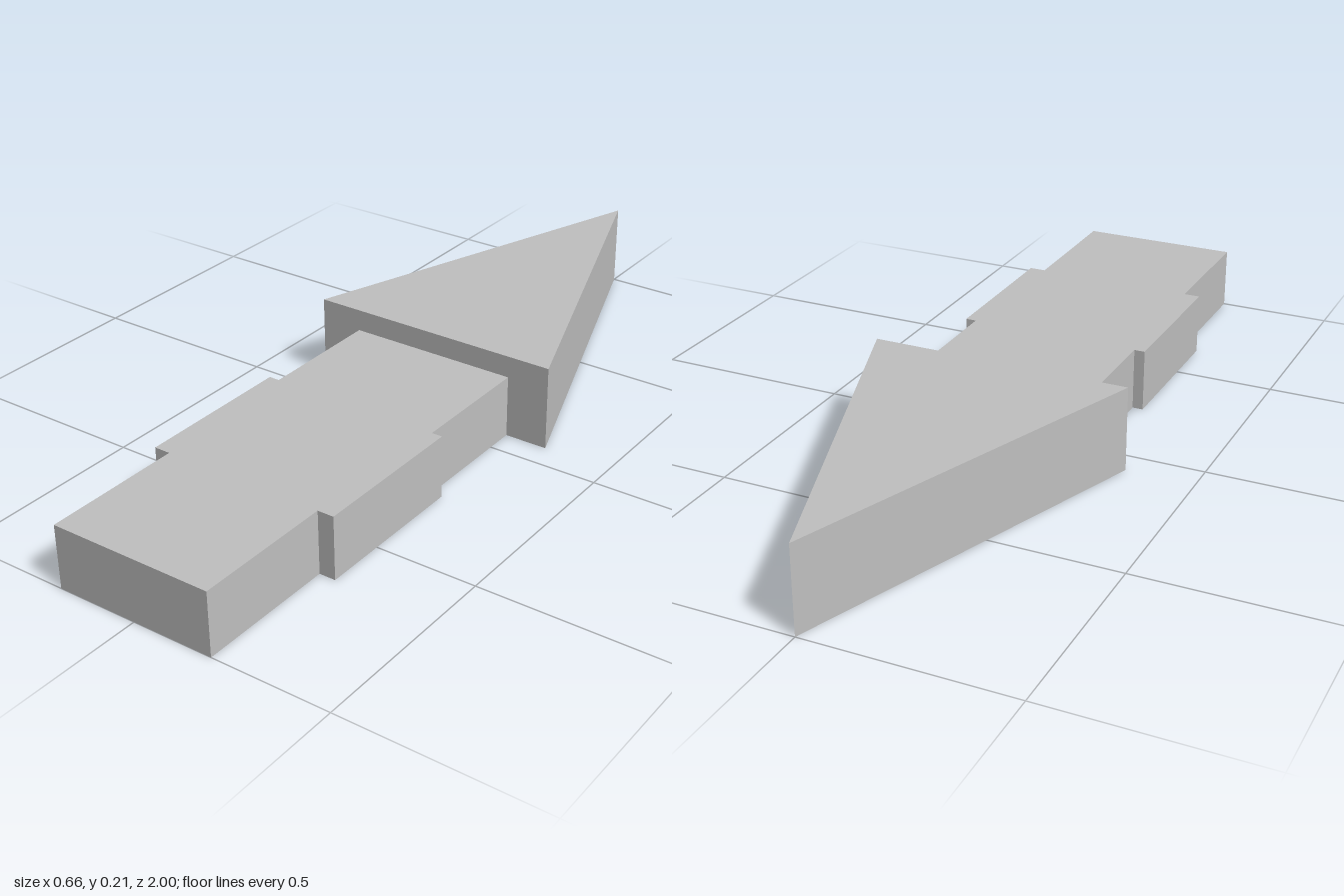
import * as THREE from 'three';

const grey = new THREE.MeshStandardMaterial({ color: 0xc0c0c0 });
grey.name = 'plain grey';

// Extrudes a plan outline of [x, z] points straight up from the ground
function slab(name, outline, height) {
  const shape = new THREE.Shape(outline.map(([x, z]) => new THREE.Vector2(x, -z)));
  const geometry = new THREE.ExtrudeGeometry(shape, { depth: height, bevelEnabled: false });
  geometry.rotateX(-Math.PI / 2);
  const mesh = new THREE.Mesh(geometry, grey);
  mesh.name = name;
  return mesh;
}

export function createModel() {
  const model = new THREE.Group();
  model.name = 'arrow';

  // Stepped shaft: one side, mirrored to the other
  const side = [
    [0.205, 1], [0.205, 0.65],
    [0.246, 0.65], [0.246, 0.25],
    [0.219, 0.25], [0.219, -0.07],
  ];
  const mirrored = side.map(([x, z]) => [-x, z]).reverse();
  model.add(slab('shaft', [...side, ...mirrored], 0.158));

  // Taller triangular head pointing to the back
  model.add(slab('arrowHead', [[-0.328, -0.07], [0.328, -0.07], [0, -1]], 0.213));

  return model;
}
